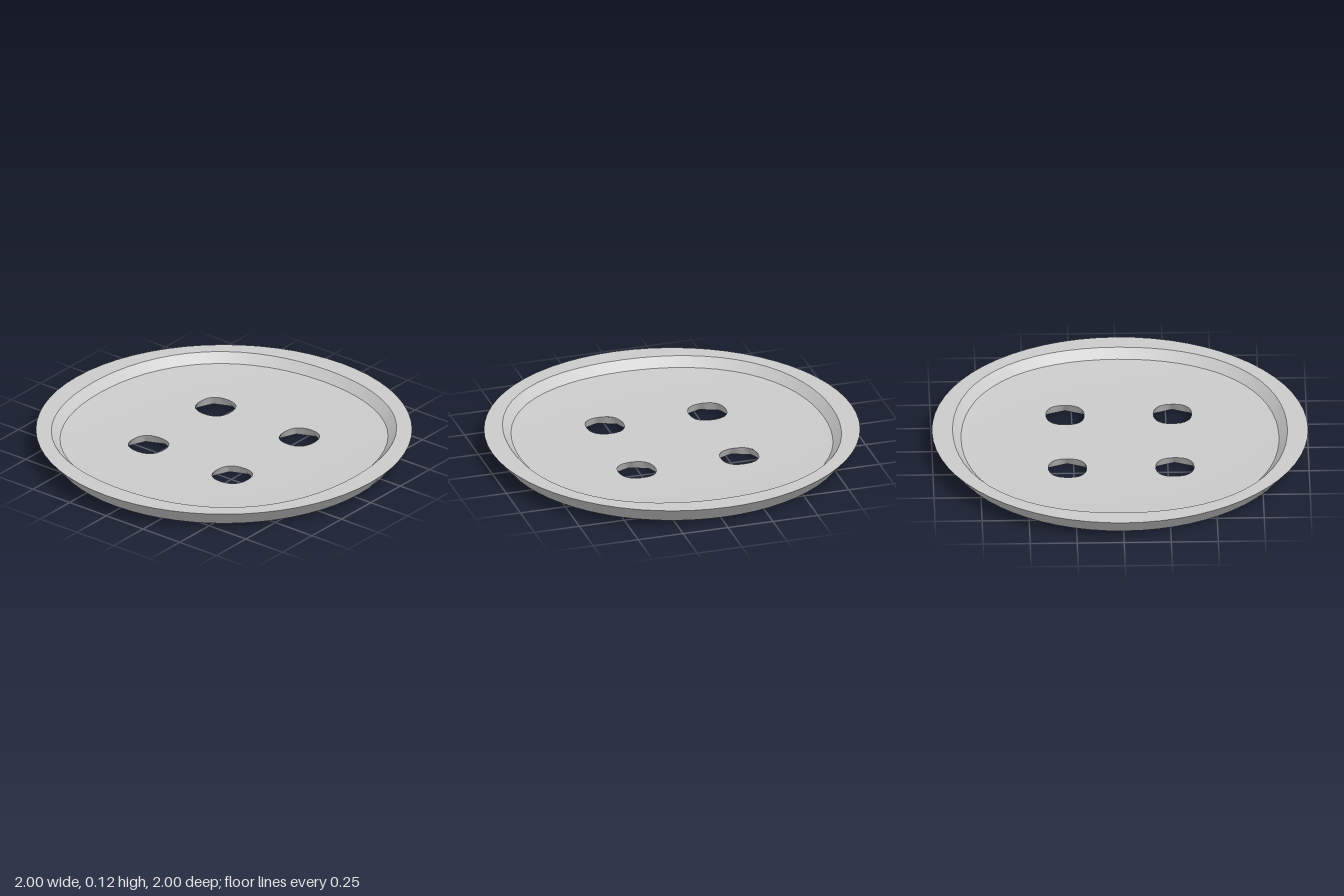
import * as THREE from 'three';
import { mergeGeometries, mergeVertices } from 'three/addons/utils/BufferGeometryUtils.js';

const material = new THREE.MeshStandardMaterial({ color: 0xcccccc, side: THREE.DoubleSide });
const SEGMENTS = 64;
const HOLE = 0.285; // distance of each hole from both axes

// Slightly squared circle: radius at an angle
const squircle = (a, radius, bulge) => radius * (1 + bulge * (1 - Math.cos(4 * a)) / 2);
const floorEdge = a => squircle(a, 0.845, 0.033);

// Gently dished floor height
function dish(x, z) {
  const t = Math.hypot(x, z) / floorEdge(Math.atan2(z, x));
  return 0.05 + 0.022 * t ** 3;
}

// Skin a list of closed rings, each with the same number of points
function loft(rings) {
  const n = rings[0].length;
  const index = [];
  for (let r = 0; r < rings.length - 1; r++) {
    for (let i = 0; i < n; i++) {
      const a = r * n + i, b = r * n + (i + 1) % n;
      index.push(a, b, a + n, b, b + n, a + n);
    }
  }
  const geometry = new THREE.BufferGeometry().setFromPoints(rings.flat());
  geometry.setIndex(index);
  geometry.computeVertexNormals();
  return geometry;
}

function ring(y, radiusAt) {
  return Array.from({ length: SEGMENTS }, (_, i) => {
    const a = i / SEGMENTS * Math.PI * 2, r = radiusAt(a);
    return new THREE.Vector3(r * Math.cos(a), y, r * Math.sin(a));
  });
}

// Outline of one quarter of the floor: along x, round the edge, back along z
function quarterOutline() {
  const points = [], e = floorEdge(0);
  for (let i = 0; i < 8; i++) points.push([e * i / 8, 0]);
  for (let i = 0; i < 16; i++) {
    const a = i / 16 * Math.PI / 2, r = floorEdge(a);
    points.push([r * Math.cos(a), r * Math.sin(a)]);
  }
  for (let i = 0; i < 8; i++) points.push([0, e * (1 - i / 8)]);
  return points;
}

// Floor quarter, skinned from the hole out to the quarter's outline
function floorQuarter() {
  const outline = quarterOutline(), rings = [];
  for (let s = 0; s <= 6; s++) {
    rings.push(outline.map(([px, pz]) => {
      const a = Math.atan2(pz - HOLE, px - HOLE), r = squircle(a, 0.102, 0.06);
      const x = THREE.MathUtils.lerp(HOLE + r * Math.cos(a), px, s / 6);
      const z = THREE.MathUtils.lerp(HOLE + r * Math.sin(a), pz, s / 6);
      return new THREE.Vector3(x, dish(x, z), z);
    }));
  }
  return loft(rings);
}

// Flared collar below a hole, ending in an eight-sided mouth
function collarGeometry() {
  const step = Math.PI / 4;
  const octagon = a => 0.14 * Math.cos(step / 2) / Math.cos(a % step - step / 2);
  const top = ring(0, a => squircle(a, 0.102, 0.06));
  top.forEach(p => { p.y = dish(p.x + HOLE, p.z + HOLE); });
  return loft([ring(0, octagon), top]);
}

export function createModel() {
  const model = new THREE.Group();
  model.name = 'button';
  const add = (name, geometry, parent = model) => {
    const mesh = new THREE.Mesh(geometry, material);
    mesh.name = name;
    parent.add(mesh);
    return mesh;
  };

  // Rim: sloping skirt, flat top and inner wall with sharp edges between them
  const outer = ring(0.12, () => 1);
  const inner = ring(0.12, a => squircle(a, 0.89, 0.033));
  add('outerSkirt', loft([outer, ring(0.025, () => 0.92)]));
  add('rimTop', loft([inner, outer]));
  add('innerWall', loft([ring(0.072, floorEdge), inner]));

  // Floor with four holes
  const quarters = [0, 1, 2, 3].map(i => floorQuarter().rotateY(i * Math.PI / 2));
  quarters.forEach(q => q.deleteAttribute('normal'));
  const floor = mergeVertices(mergeGeometries(quarters), 1e-4);
  floor.computeVertexNormals();
  add('floor', floor);

  // Collars under the holes
  const collar = collarGeometry();
  for (let i = 0; i < 4; i++) {
    const pivot = new THREE.Group();
    pivot.name = 'holeCollar';
    pivot.rotation.y = i * Math.PI / 2;
    add('collar', collar, pivot).position.set(HOLE, 0, HOLE);
    model.add(pivot);
  }
  return model;
}
